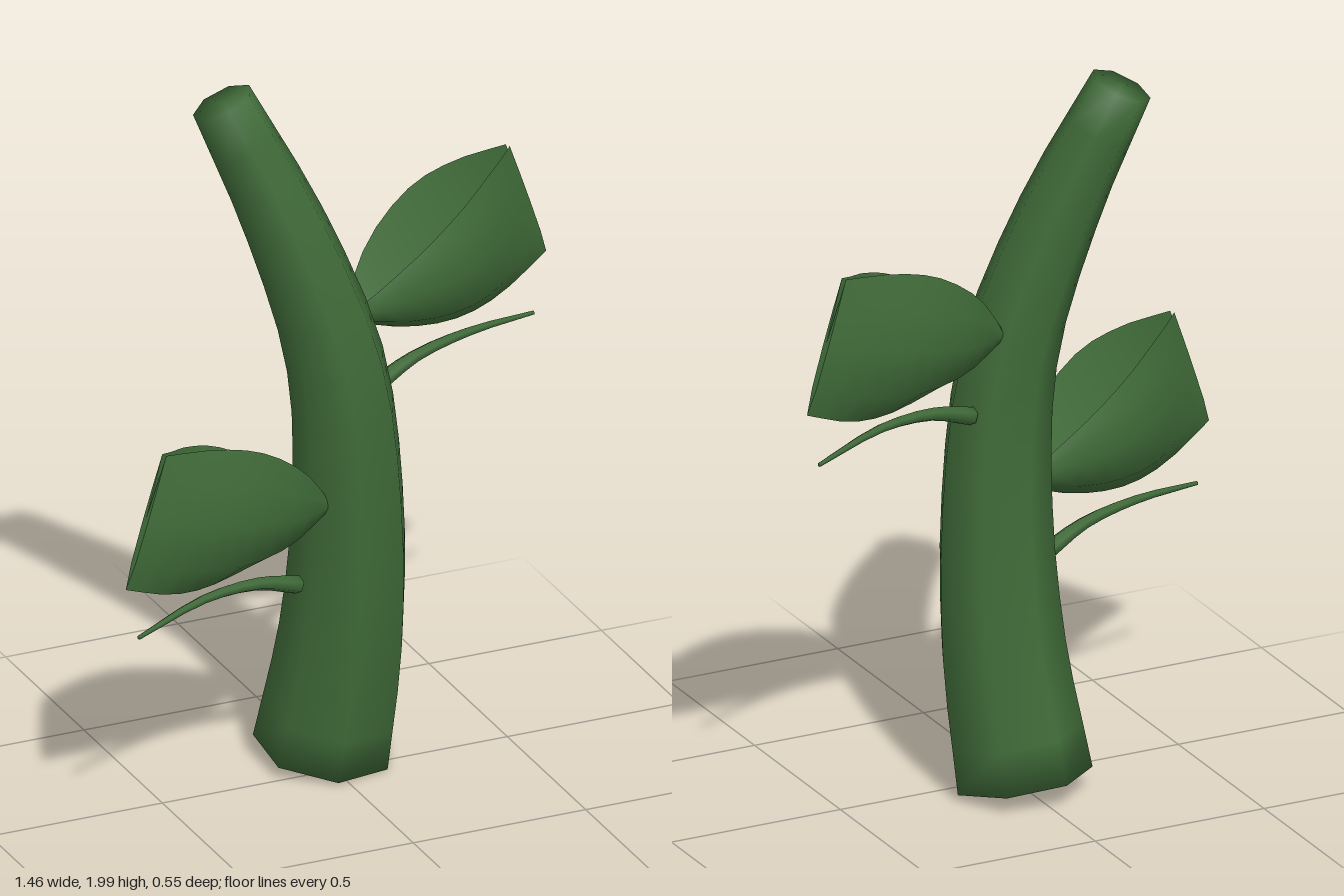
import * as THREE from 'three';
import { toCreasedNormals } from 'three/addons/utils/BufferGeometryUtils.js';

const V = (x, y, z) => new THREE.Vector3(x, y, z);

// Skin a list of closed rings and cap both ends
function loft(rings) {
  const n = rings[0].length, pts = rings.flat(), idx = [];
  for (let i = 0; i < rings.length - 1; i++) {
    for (let j = 0; j < n; j++) {
      const a = i * n + j, b = i * n + (j + 1) % n;
      idx.push(a, a + n, b, b, a + n, b + n);
    }
  }
  [0, rings.length - 1].forEach((r, end) => {
    const c = pts.length;
    pts.push(rings[r].reduce((s, p) => s.add(p), V(0, 0, 0)).divideScalar(n));
    for (let j = 0; j < n; j++) {
      const a = r * n + j, b = r * n + (j + 1) % n;
      if (end) idx.push(c, b, a); else idx.push(c, a, b);
    }
  });
  const g = new THREE.BufferGeometry().setFromPoints(pts);
  g.setIndex(idx);
  g.computeVertexNormals();
  return g;
}

// Tapered tube: each stop is [x, y, z, radius]
function taperedTube(stops, sides, steps, ref) {
  const curve = new THREE.CatmullRomCurve3(stops.map(s => V(s[0], s[1], s[2])));
  const rings = [];
  for (let i = 0; i <= steps; i++) {
    const t = i / steps, f = t * (stops.length - 1), k = Math.min(Math.floor(f), stops.length - 2);
    const r = THREE.MathUtils.lerp(stops[k][3], stops[k + 1][3], f - k);
    const c = curve.getPoint(t), T = curve.getTangent(t);
    const e1 = ref.clone().addScaledVector(T, -T.dot(ref)).normalize();
    const e2 = e1.clone().cross(T);
    rings.push(Array.from({ length: sides }, (_, j) => {
      const a = j / sides * Math.PI * 2;
      return c.clone().addScaledVector(e1, r * Math.cos(a)).addScaledVector(e2, r * Math.sin(a));
    }));
  }
  return loft(rings);
}

// Folded leaf: rounded keel below, two rims with a groove above, pinched outer end
function foldedLeaf() {
  const keel = new THREE.SplineCurve([[.07, 1.28], [.25, 1.21], [.42, 1.18], [.57, 1.2], [.73, 1.27]].map(p => new THREE.Vector2(...p)));
  const rim = new THREE.SplineCurve([[.07, 1.33], [.19, 1.46], [.33, 1.56], [.46, 1.605], [.6, 1.62]].map(p => new THREE.Vector2(...p)));
  const width = new THREE.SplineCurve([[0, .035], [.25, .1], [.5, .112], [.75, .075], [1, .01]].map(p => new THREE.Vector2(...p)));
  // [sideways, height] around the section
  const section = [[1, .5], [.95, .75], [.75, 1], [0, .4], [-.75, 1], [-.95, .75], [-1, .5], [-.8, .2], [0, 0], [.8, .2]];
  const side = V(.32, 0, .95), rings = [], steps = 10;
  for (let i = 0; i <= steps; i++) {
    const t = i / steps, b = keel.getPoint(t), c = rim.getPoint(t), w = width.getPoint(t).y;
    const bow = Math.sin(Math.PI * t);
    rings.push(section.map(([s, h]) => {
      const p = b.clone().lerp(c, h);
      const tilt = h > .9 ? -.025 * bow * (s > 0 ? 1.6 : 0) : 0;
      return V(p.x, p.y + tilt, -.025 - .32 * p.x + .012 * bow).addScaledVector(side, s * w);
    }));
  }
  return toCreasedNormals(loft(rings), 0.95);
}

export function createModel() {
  const model = new THREE.Group();
  model.name = 'plantStem';
  const green = new THREE.MeshStandardMaterial({ color: 0x3f6a38 });
  green.name = 'leafGreen';
  const add = (parent, name, geometry) => {
    const m = new THREE.Mesh(geometry, green);
    m.name = name;
    parent.add(m);
  };

  // Seven-sided curved trunk
  add(model, 'stem', taperedTube([
    [.01, .043, -.09, .19], [.04, .4, -.03, .172], [.04, .8, .008, .153],
    [0, 1.2, .015, .135], [-.125, 1.6, -.03, .112], [-.28, 1.965, -.1, .086],
  ], 7, 15, V(1, 0, 0)));

  // Two opposite branches, each a leaf over a thin stalk
  const leaf = foldedLeaf();
  const stalk = taperedTube([
    [.135, 1.08, -.045, .025], [.27, 1.125, -.085, .018], [.45, 1.138, -.14, .013], [.68, 1.11, -.232, .006],
  ], 6, 9, V(0, 1, 0));
  for (const [name, y, z, turn] of [['upperBranch', 0, 0, 0], ['lowerBranch', -.48, .015, Math.PI]]) {
    const branch = new THREE.Group();
    branch.name = name;
    branch.position.set(0, y, z);
    branch.rotation.y = turn;
    add(branch, 'leaf', leaf);
    add(branch, 'stalk', stalk);
    model.add(branch);
  }
  return model;
}
